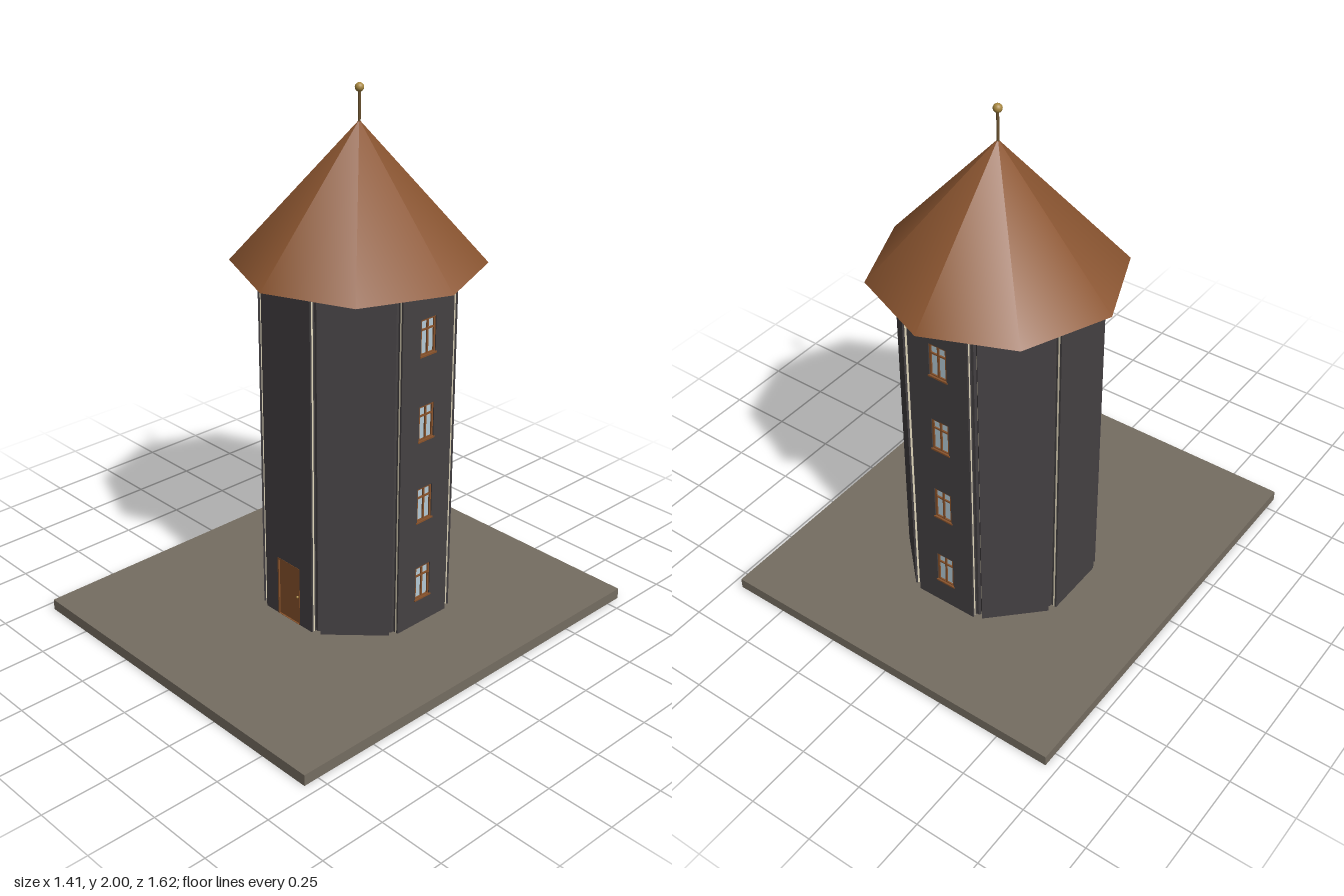
import * as THREE from 'three';

const mat = (name, color) => {
  const m = new THREE.MeshStandardMaterial({ color });
  m.name = name;
  return m;
};

const BASE_TOP = 0.042, WALL_TOP = 1.34, HALF = 0.125, INNER = 0.325, LAYER = 0.007;
const WIN_W = 0.074, WIN_H = 0.136, WIN_Y = [0.213, 0.537, 0.86, 1.185];
const DOOR_W = 0.12, DOOR_TOP = 0.28;

// Rectangle outline by centre and size, for shapes and holes
function rect(cx, cy, w, h, Type = THREE.Path) {
  const p = new Type();
  p.moveTo(cx - w / 2, cy - h / 2);
  p.lineTo(cx + w / 2, cy - h / 2);
  p.lineTo(cx + w / 2, cy + h / 2);
  p.lineTo(cx - w / 2, cy + h / 2);
  p.closePath();
  return p;
}

const extrude = (shape, depth) => new THREE.ExtrudeGeometry(shape, { depth, bevelEnabled: false });

function add(parent, name, geometry, material, x = 0, y = 0, z = 0) {
  const mesh = new THREE.Mesh(geometry, material);
  mesh.name = name;
  mesh.position.set(x, y, z);
  parent.add(mesh);
  return mesh;
}

// Flat wall panel outline with window openings or a doorway
function panelShape(kind) {
  const h = DOOR_W / 2;
  const pts = [[-HALF, BASE_TOP]];
  if (kind === 'door') pts.push([-h, BASE_TOP], [-h, DOOR_TOP], [h, DOOR_TOP], [h, BASE_TOP]);
  pts.push([HALF, BASE_TOP], [HALF, WALL_TOP], [-HALF, WALL_TOP]);
  const shape = new THREE.Shape(pts.map(([x, y]) => new THREE.Vector2(x, y)));
  if (kind === 'windows') WIN_Y.forEach((y) => shape.holes.push(rect(0, y, WIN_W, WIN_H)));
  return shape;
}

export function createModel() {
  const model = new THREE.Group();
  model.name = 'octagonalTower';

  const stone = mat('groundStone', 0x756d61);
  const dark = mat('darkCladding', 0x454143);
  const cream = mat('creamCore', 0xe3d9bd);
  const roofMat = mat('roofBrown', 0x8b5530);
  const wood = mat('woodBrown', 0x87522b);
  const glass = mat('paleGlass', 0xb4cad6);
  const brass = mat('brass', 0xa88841);
  const rodMat = mat('rodBronze', 0x6b5330);

  // Ground slab
  add(model, 'groundSlab', new THREE.BoxGeometry(1.415, BASE_TOP, 1.62), stone, 0, BASE_TOP / 2, 0);

  const tower = new THREE.Group();
  tower.name = 'tower';
  tower.position.z = -0.1;
  model.add(tower);

  // Inner shell closing the gaps between panels
  const coreR = (INNER - 0.001) / Math.cos(Math.PI / 8);
  const wallH = WALL_TOP - BASE_TOP;
  const coreGeo = new THREE.CylinderGeometry(coreR, coreR, wallH, 8).toNonIndexed();
  coreGeo.computeVertexNormals();
  add(tower, 'innerShell', coreGeo, dark, 0, BASE_TOP + wallH / 2, 0).rotation.y = Math.PI / 8;

  // Casement frame: two tall lights below a transom, two short ones above
  const frameShape = rect(0, 0, WIN_W, WIN_H, THREE.Shape);
  for (const s of [-1, 1]) {
    frameShape.holes.push(rect(s * 0.0165, -0.018, 0.026, 0.086));
    frameShape.holes.push(rect(s * 0.0165, 0.046, 0.026, 0.03));
  }
  const frameGeo = extrude(frameShape, 0.011);
  const paneGeo = new THREE.BoxGeometry(WIN_W - 0.006, WIN_H - 0.006, 0.003);
  const sillGeo = new THREE.BoxGeometry(WIN_W + 0.008, 0.006, 0.016);

  // Eight sandwich panels: dark, cream, dark
  const kinds = ['door', 'plain', 'windows', 'plain', 'windows', 'plain', 'plain', 'windows'];
  kinds.forEach((kind, i) => {
    const wall = new THREE.Group();
    wall.name = kind + 'Wall';
    wall.rotation.y = i * Math.PI / 4;
    tower.add(wall);

    const layerGeo = extrude(panelShape(kind), LAYER);
    [['innerCladding', dark], ['panelCore', cream], ['outerCladding', dark]].forEach(([name, m], k) =>
      add(wall, name, layerGeo, m, 0, 0, INNER + k * LAYER));

    if (kind === 'windows') {
      for (const y of WIN_Y) {
        add(wall, 'windowFrame', frameGeo, wood, 0, y, INNER + 0.006);
        add(wall, 'windowPane', paneGeo, glass, 0, y, INNER + 0.01);
        add(wall, 'windowSill', sillGeo, wood, 0, y - WIN_H / 2, INNER + 0.016);
      }
    }
    if (kind === 'door') {
      const h = DOOR_TOP - BASE_TOP;
      const cy = BASE_TOP + h / 2;
      // Door leaf, surround and knob
      add(wall, 'doorLeaf', new THREE.BoxGeometry(DOOR_W - 0.01, h - 0.005, 0.014), wood, 0, cy - 0.002, INNER + 0.009);
      const surround = rect(0, cy, DOOR_W, h, THREE.Shape);
      surround.holes.push(rect(0, cy - 0.003, DOOR_W - 0.012, h - 0.008));
      add(wall, 'doorSurround', extrude(surround, 0.022), wood, 0, 0, INNER);
      add(wall, 'doorKnob', new THREE.SphereGeometry(0.005, 12, 8), brass, 0.045, 0.155, INNER + 0.019);
    }
  });

  // Eight-sided roof, rod and ball finial
  const eave = 1.365, apex = 1.872;
  add(tower, 'roof', new THREE.ConeGeometry(0.455, apex - eave, 8), roofMat, 0, (eave + apex) / 2, 0);
  add(tower, 'finialRod', new THREE.CylinderGeometry(0.005, 0.005, 0.13, 10), rodMat, 0, 1.915, 0);
  add(tower, 'finialBall', new THREE.SphereGeometry(0.016, 20, 14), brass, 0, 1.984, 0);

  return model;
}
